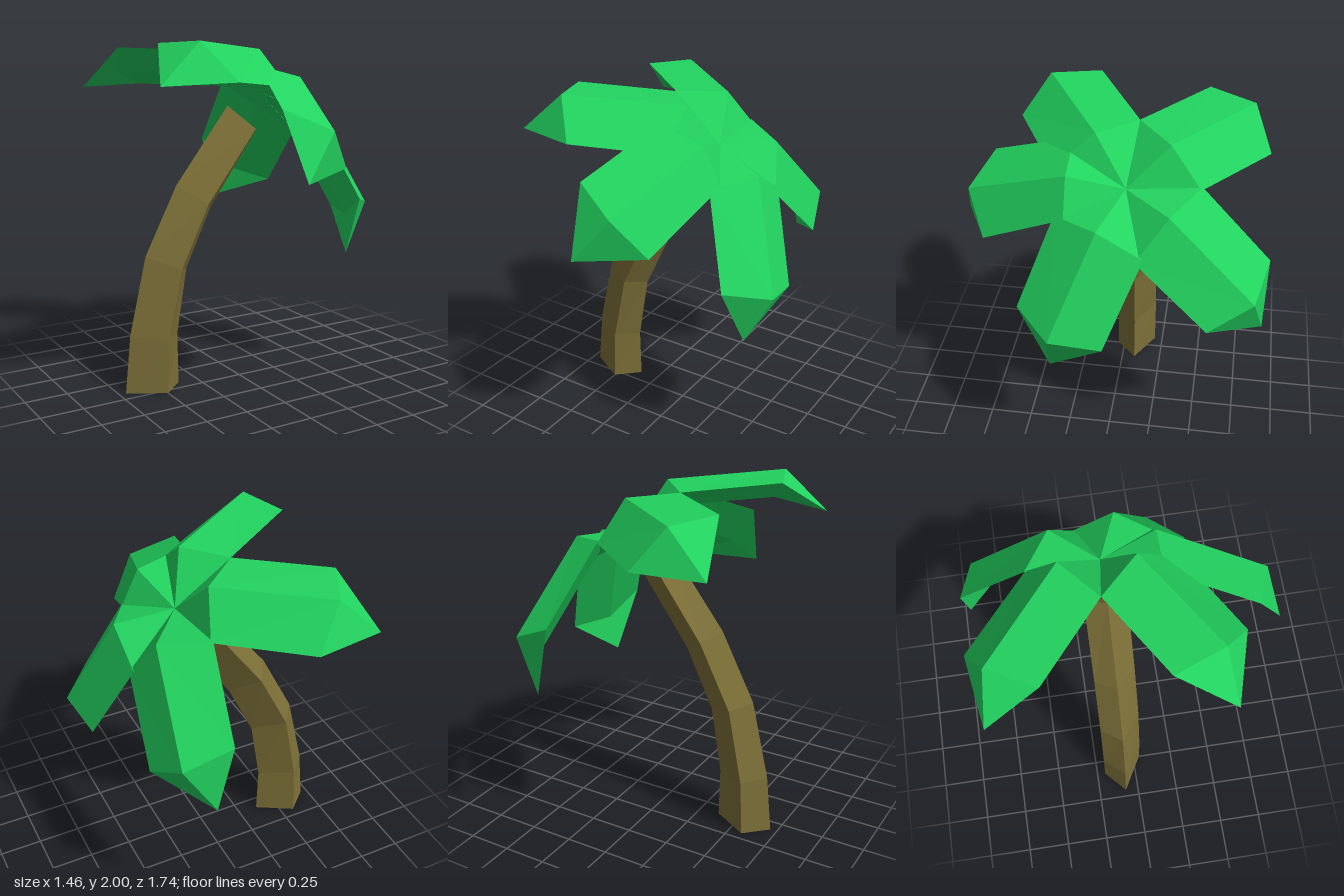
import * as THREE from 'three';

const vec = (p) => new THREE.Vector3(...p);

// Flat-shaded mesh from polygons (fans of corner points)
function facetMesh(name, polygons, material) {
  const points = [];
  for (const poly of polygons) {
    for (let i = 1; i < poly.length - 1; i++) points.push(poly[0], poly[i], poly[i + 1]);
  }
  const geometry = new THREE.BufferGeometry().setFromPoints(points);
  geometry.computeVertexNormals();
  const mesh = new THREE.Mesh(geometry, material);
  mesh.name = name;
  return mesh;
}

// Each frond: a folded blade with a raised ridge, a right and a left edge and a drooping tip
const crown = vec([0.19, 1.69, -0.085]);
const fronds = [
  { name: 'backRightFrond',
    right: [[0.175, 1.705, -0.48], [-0.24, 1.715, -0.835]],
    ridge: [[0.105, 1.92, -0.31], [-0.4, 1.935, -0.73]],
    left: [[-0.12, 1.935, -0.12], [-0.535, 1.95, -0.47]],
    tip: [-0.635, 1.71, -0.775] },
  { name: 'frontRightFrond',
    right: [[-0.12, 1.935, -0.12], [-0.585, 1.985, 0.155]],
    ridge: [[0.08, 1.945, 0.09], [-0.485, 2.0, 0.43]],
    left: [[0.115, 1.745, 0.325], [-0.345, 1.795, 0.58]],
    tip: [-0.73, 1.78, 0.47] },
  { name: 'frontFrond',
    right: [[-0.01, 1.86, 0.22], [-0.17, 1.665, 0.7]],
    ridge: [[0.27, 1.79, 0.22], [0.08, 1.55, 0.805]],
    left: [[0.37, 1.585, 0.22], [0.24, 1.335, 0.7]],
    tip: [-0.12, 1.3, 0.87] },
  { name: 'leftFrond',
    right: [[0.335, 1.585, 0.275], [0.525, 1.105, 0.46]],
    ridge: [[0.495, 1.61, 0.03], [0.725, 1.04, 0.26]],
    left: [[0.49, 1.455, -0.215], [0.68, 0.98, -0.025]],
    tip: [0.57, 0.75, 0.285] },
  { name: 'backLeftFrond',
    right: [[0.498, 1.44, -0.17], [0.565, 1.075, -0.565]],
    ridge: [[0.41, 1.675, -0.335], [0.49, 1.225, -0.805]],
    left: [[0.165, 1.72, -0.485], [0.235, 1.34, -0.87]],
    tip: [0.32, 0.95, -0.86] },
];

function makeFrond({ name, right, ridge, left, tip }, material) {
  const [a1, a2] = right.map(vec);
  const [b1, b2] = left.map(vec);
  const top = ridge.map(vec);
  const t = vec(tip);
  const up = a2.clone().sub(b2).cross(top[1].clone().sub(top[0])).normalize();
  const under = top.map((p) => p.clone().addScaledVector(up, -0.15));
  const skin = ([m1, m2]) => [
    [crown, a1, m1], [crown, m1, b1],
    [a1, a2, m2, m1], [m1, m2, b2, b1],
    [a2, t, m2], [m2, t, b2],
  ];
  // Upper skin plus the flipped underside
  return facetMesh(name, [...skin(top), ...skin(under).map((f) => f.reverse())], material);
}

function makeTrunk(material) {
  // Rings of a leaning four-sided trunk: [x, y] of the outer, front and inner corners
  const rings = [
    [[-0.71, 0], [-0.5, 0], [-0.37, 0]],
    [[-0.675, 0.34], [-0.485, 0.315], [-0.375, 0.3]],
    [[-0.57, 0.79], [-0.4, 0.72], [-0.31, 0.69]],
    [[-0.37, 1.18], [-0.225, 1.08], [-0.15, 1.03]],
    [[-0.03, 1.62], [0.09, 1.49], [0.145, 1.44]],
  ].map(([o, f, i]) => [
    vec([...o, -0.08]), vec([...f, 0.04]), vec([...i, -0.08]),
    vec([o[0] + i[0] - f[0], o[1] + i[1] - f[1], -0.2]),
  ]);
  const faces = [[...rings[0]].reverse(), rings[rings.length - 1]];
  for (let r = 0; r < rings.length - 1; r++) {
    for (let k = 0; k < 4; k++) {
      const n = (k + 1) % 4;
      faces.push([rings[r][k], rings[r][n], rings[r + 1][n], rings[r + 1][k]]);
    }
  }
  return facetMesh('trunk', faces, material);
}

export function createModel() {
  const model = new THREE.Group();
  model.name = 'palmTree';
  const bark = new THREE.MeshStandardMaterial({ color: 0x7d7038, flatShading: true });
  const leaf = new THREE.MeshStandardMaterial({ color: 0x22d35f, flatShading: true, side: THREE.DoubleSide });

  model.add(makeTrunk(bark));

  const foliage = new THREE.Group();
  foliage.name = 'fronds';
  for (const frond of fronds) foliage.add(makeFrond(frond, leaf));
  model.add(foliage);
  return model;
}
